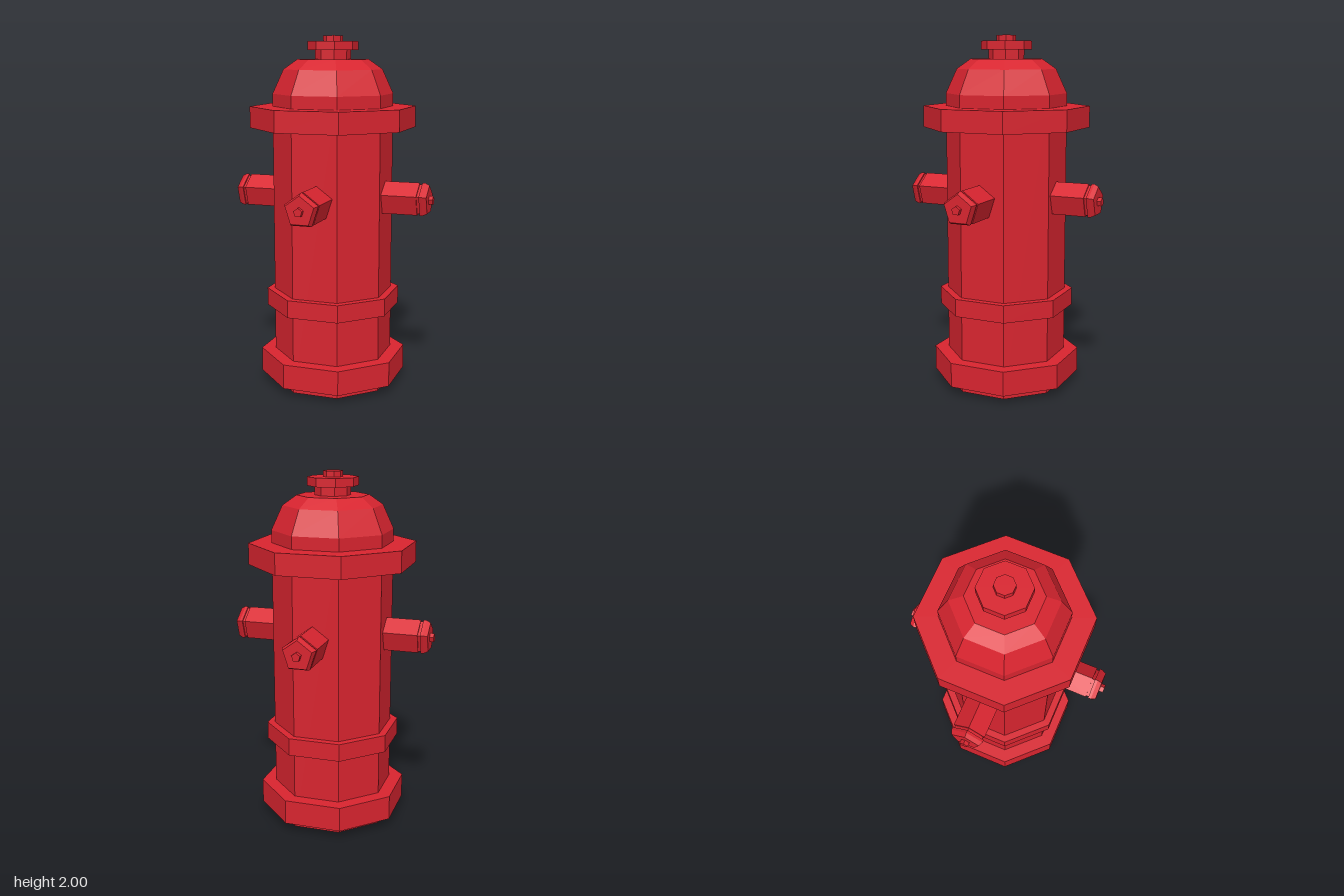
import * as THREE from 'three';

const red = new THREE.MeshStandardMaterial({ color: 0xd8242f, flatShading: true });
red.name = 'hydrant red';

// Prism or frustum between two heights on the y axis
function ring(name, sides, r0, r1, y0, y1, thetaStart = 0) {
  const geo = new THREE.CylinderGeometry(r1, r0, y1 - y0, sides, 1, false, thetaStart);
  geo.translate(0, (y0 + y1) / 2, 0);
  const mesh = new THREE.Mesh(geo, red);
  mesh.name = name;
  return mesh;
}

// Five-sided side outlet pointing along +z, one corner upwards
function makeNozzle() {
  const nozzle = new THREE.Group();
  [
    ['nozzlePipe', 0.096, 0.096, 0.28, 0.51],
    ['nozzleGroove', 0.087, 0.087, 0.51, 0.525],
    ['nozzleCap', 0.097, 0.097, 0.525, 0.541],
    ['nozzleCapBevel', 0.097, 0.084, 0.541, 0.565],
    ['nozzleNut', 0.025, 0.025, 0.56, 0.588],
  ].forEach(([name, r0, r1, a, b]) => {
    const mesh = ring(name, 5, r0, r1, a, b, Math.PI);
    mesh.geometry.rotateX(Math.PI / 2);
    nozzle.add(mesh);
  });
  return nozzle;
}

export function createModel() {
  const model = new THREE.Group();
  model.name = 'fireHydrant';

  // Octagonal barrel, flanges, domed bonnet and top nut
  const barrel = new THREE.Group();
  barrel.name = 'barrel';
  barrel.position.z = -0.005;
  [
    ['body', 0.34, 0.34, 0, 1.68],
    ['baseFlange', 0.42, 0.42, 0.05, 0.19],
    ['middleBand', 0.383, 0.383, 0.455, 0.555],
    ['topFlange', 0.469, 0.469, 1.49, 1.61],
    ['lowerDome', 0.34, 0.278, 1.68, 1.815],
    ['upperDome', 0.278, 0.2, 1.815, 1.87],
    ['capNeck', 0.1, 0.1, 1.87, 1.92],
    ['capDisc', 0.142, 0.142, 1.92, 1.968],
    ['topNut', 0.055, 0.055, 1.968, 2],
  ].forEach(([name, r0, r1, y0, y1]) => barrel.add(ring(name, 8, r0, r1, y0, y1)));
  model.add(barrel);

  // Four nozzles on alternate faces, each nudged slightly sideways
  const names = ['leftNozzle', 'backNozzle', 'rightNozzle', 'frontNozzle'];
  const nudge = [0.01, 0.015, 0, -0.01];
  names.forEach((name, i) => {
    const nozzle = makeNozzle();
    nozzle.name = name;
    nozzle.rotation.y = Math.PI * (0.375 + i / 2);
    nozzle.position.y = 1.104;
    nozzle.translateX(-nudge[i]);
    model.add(nozzle);
  });

  return model;
}
